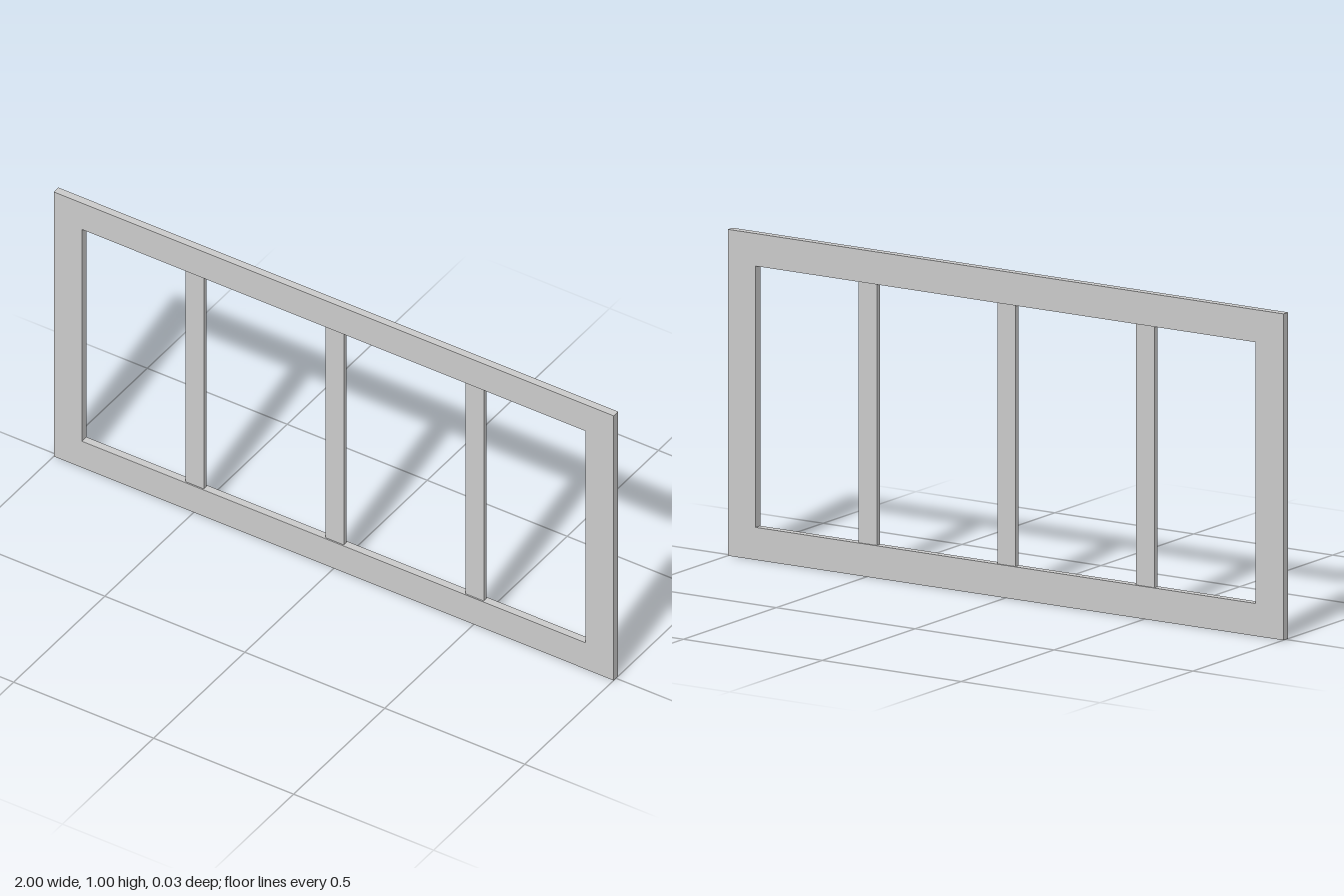
import * as THREE from 'three';

const WIDTH = 2, HEIGHT = 1.003, DEPTH = 0.025, BORDER = 0.1;
const MULLION_WIDTH = 0.066, MULLION_DEPTH = 0.016;

export function createModel() {
  const group = new THREE.Group();
  group.name = 'windowFrame';
  const material = new THREE.MeshStandardMaterial({ color: 0xcccccc });

  // Outer frame: a rectangle with one large opening
  const rectangle = (Type, inset) => {
    const x = WIDTH / 2 - inset, top = HEIGHT - inset;
    return new Type([[-x, inset], [x, inset], [x, top], [-x, top]].map(p => new THREE.Vector2(...p)));
  };
  const outline = rectangle(THREE.Shape, 0);
  outline.holes.push(rectangle(THREE.Path, BORDER));
  const frameGeometry = new THREE.ExtrudeGeometry(outline, { depth: DEPTH, bevelEnabled: false });
  frameGeometry.translate(0, 0, -DEPTH / 2);
  const frame = new THREE.Mesh(frameGeometry, material);
  frame.name = 'outerFrame';
  group.add(frame);

  // Upright dividers, slightly thinner than the frame
  const mullionGeometry = new THREE.BoxGeometry(MULLION_WIDTH, HEIGHT - 2 * BORDER, MULLION_DEPTH);
  [['rightMullion', -0.5], ['centreMullion', 0], ['leftMullion', 0.5]].forEach(([name, x]) => {
    const mullion = new THREE.Mesh(mullionGeometry, material);
    mullion.name = name;
    mullion.position.set(x, HEIGHT / 2, 0);
    group.add(mullion);
  });

  return group;
}
